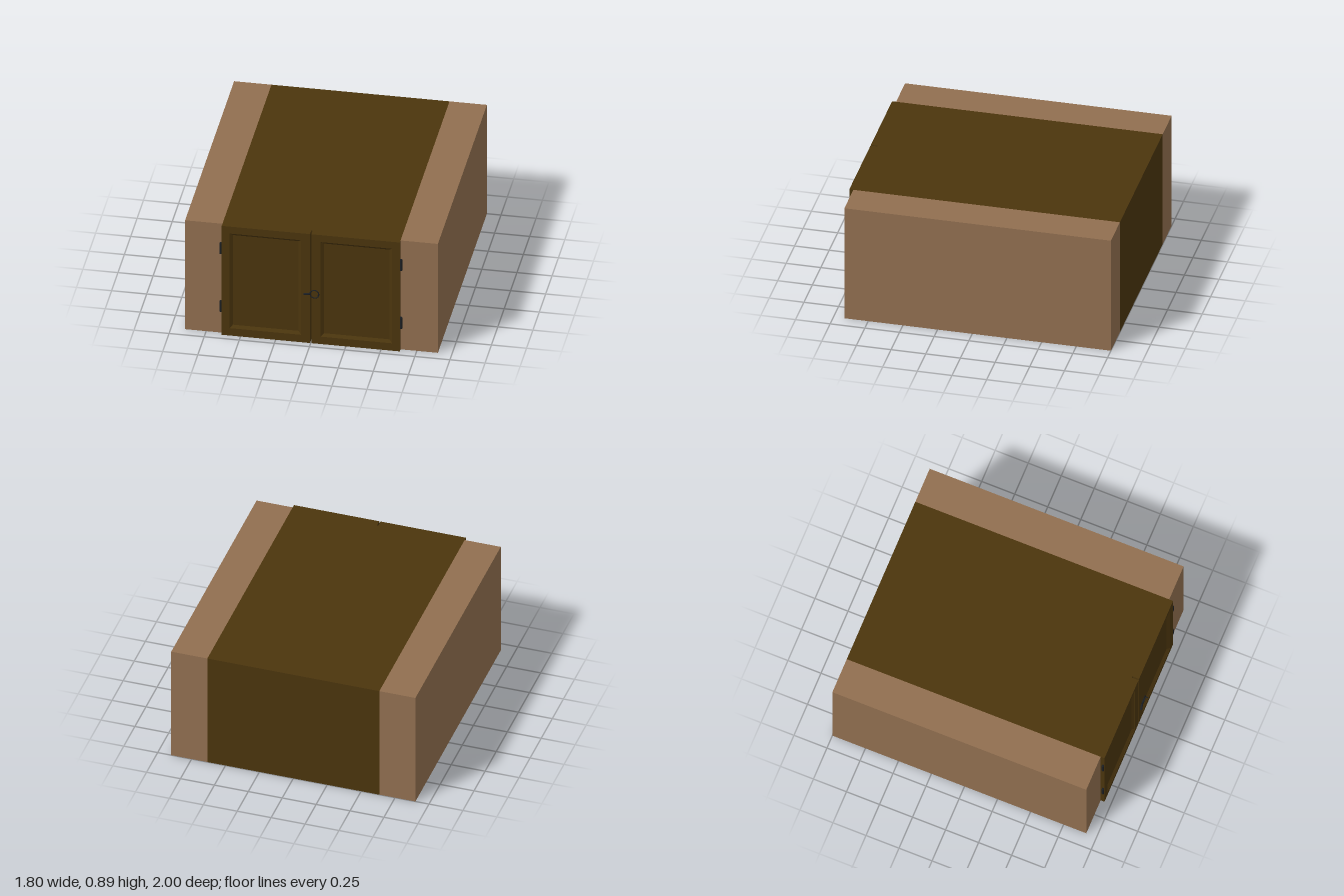
import * as THREE from 'three';

const wallMat = new THREE.MeshStandardMaterial({ color: 0x916f50 });
wallMat.name = 'tan wall';
const woodMat = new THREE.MeshStandardMaterial({ color: 0x4b350d });
woodMat.name = 'dark wood';
const ironMat = new THREE.MeshStandardMaterial({ color: 0x1c1f23 });
ironMat.name = 'black iron';

const H = 0.89, BACK = -1, WALL_FRONT = 0.922, DOOR_BACK = 0.9, DOOR_FRONT = 0.951;
const HALF = 0.9, INNER = 0.634, GAP = 0.005;

function add(parent, name, geometry, material, x = 0, y = 0, z = 0) {
  const mesh = new THREE.Mesh(geometry, material);
  mesh.name = name;
  mesh.position.set(x, y, z);
  parent.add(mesh);
  return mesh;
}

// Box given by its lower and upper corners
function block(parent, name, material, [x0, y0, z0], [x1, y1, z1]) {
  return add(parent, name, new THREE.BoxGeometry(x1 - x0, y1 - y0, z1 - z0), material,
    (x0 + x1) / 2, (y0 + y1) / 2, (z0 + z1) / 2);
}

const corners = (x0, y0, x1, y1) => [[x0, y0], [x1, y0], [x1, y1], [x0, y1]];

// Sloped moulding running from the frame opening down to the sunken panel
function moulding(outer, inner, zOuter, zInner) {
  const pos = [];
  for (let i = 0; i < 4; i++) {
    const j = (i + 1) % 4;
    const a = [...outer[i], zOuter], b = [...outer[j], zOuter];
    const c = [...inner[j], zInner], d = [...inner[i], zInner];
    pos.push(...a, ...b, ...c, ...a, ...c, ...d);
  }
  const g = new THREE.BufferGeometry();
  g.setAttribute('position', new THREE.Float32BufferAttribute(pos, 3));
  g.computeVertexNormals();
  return g;
}

function door(side) {
  const g = new THREE.Group();
  g.name = side > 0 ? 'leftDoor' : 'rightDoor';
  const [x0, x1] = side > 0 ? [GAP, INNER] : [-INNER, -GAP];
  const [p0, p1] = side > 0 ? [0.07, 0.578] : [-0.578, -0.07];
  const opening = corners(p0, 0.06, p1, 0.833);
  const sunken = corners(p0 + 0.02, 0.08, p1 - 0.02, 0.813);
  const vec = (list) => list.map(([x, y]) => new THREE.Vector2(x, y));

  // Frame with a rectangular opening
  const shape = new THREE.Shape(vec(corners(x0, 0, x1, H)));
  shape.holes.push(new THREE.Path(vec(opening)));
  add(g, 'doorFrame', new THREE.ExtrudeGeometry(shape, { depth: DOOR_FRONT - DOOR_BACK, bevelEnabled: false }),
    woodMat, 0, 0, DOOR_BACK);
  add(g, 'panelMoulding', moulding(opening, sunken, DOOR_FRONT - 0.002, DOOR_FRONT - 0.018), woodMat);
  block(g, 'doorPanel', woodMat, [p0, 0.06, DOOR_BACK], [p1, 0.833, DOOR_FRONT - 0.018]);

  // Hinges on the outer edge: barrel, leaf and end caps
  for (const y of [0.23, 0.703]) {
    const hinge = new THREE.Group();
    hinge.name = 'hinge';
    hinge.position.set(side * 0.643, y, 0.943);
    add(hinge, 'hingeBarrel', new THREE.CylinderGeometry(0.009, 0.009, 0.084, 12), ironMat);
    add(hinge, 'hingeLeaf', new THREE.BoxGeometry(0.014, 0.092, 0.012), ironMat, -side * 0.004);
    for (const s of [-1, 1])
      add(hinge, 'hingeCap', new THREE.SphereGeometry(0.008, 10, 8), ironMat, 0, s * 0.041);
    g.add(hinge);
  }
  return g;
}

function latch() {
  const g = new THREE.Group();
  g.name = 'latch';
  // Ring facing forward, a stub on its far side and a slanted lever
  add(g, 'latchRing', new THREE.TorusGeometry(0.031, 0.004, 8, 28), ironMat, 0.031, 0.417, 0.976);
  const stub = add(g, 'latchStub', new THREE.CylinderGeometry(0.004, 0.004, 0.022, 10), ironMat, 0.059, 0.417, 0.985);
  stub.rotation.x = Math.PI / 2;
  const lever = add(g, 'latchLever', new THREE.CapsuleGeometry(0.008, 0.034, 4, 10), ironMat, -0.022, 0.417, 0.981);
  lever.rotation.order = 'YXZ';
  lever.rotation.set(0, 0.25, Math.PI / 2);
  return g;
}

export function createModel() {
  const model = new THREE.Group();
  model.name = 'cabinet';
  block(model, 'leftWall', wallMat, [INNER, 0, BACK], [HALF, H, WALL_FRONT]);
  block(model, 'rightWall', wallMat, [-HALF, 0, BACK], [-INNER, H, WALL_FRONT]);
  block(model, 'cabinetBody', woodMat, [-INNER, 0, BACK], [INNER, H, DOOR_BACK]);
  model.add(door(1), door(-1), latch());
  return model;
}
